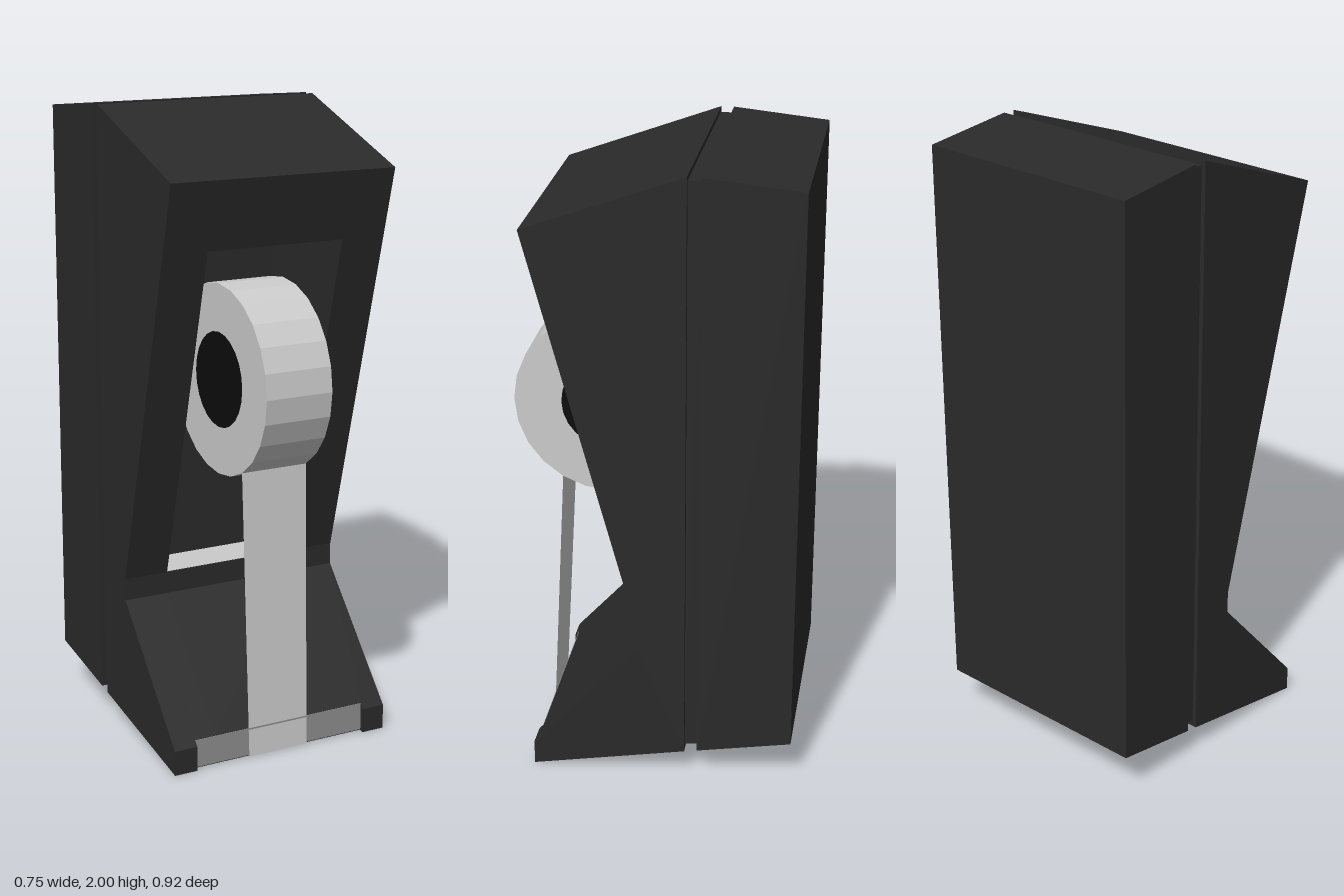
import * as THREE from 'three';

const material = (color, extra = {}) => new THREE.MeshStandardMaterial({ color, flatShading: true, ...extra });

// Side profile given as [z, y] points, extruded across x from x0 to x1.
function slab(points, x0, x1) {
  const shape = new THREE.Shape(points.map(([z, y]) => new THREE.Vector2(z, y)));
  const geo = new THREE.ExtrudeGeometry(shape, { depth: x1 - x0, bevelEnabled: false });
  return geo.rotateY(-Math.PI / 2).translate(x1, 0, 0);
}

export function createModel() {
  const group = new THREE.Group();
  const dark = material(0x2a2a2a);
  const grey = material(0xcccccc);
  const add = (name, geo, mat, parent = group) => {
    const mesh = new THREE.Mesh(geo, mat);
    mesh.name = name;
    parent.add(mesh);
    return mesh;
  };

  const W = 0.377, notchW = 0.3, pocketW = 0.23;

  // Front shell: cheeks on both sides, with a pocket and a cutter notch between them
  const shell = new THREE.Group();
  shell.name = 'frontShell';
  group.add(shell);
  const toe = [[0.37, 0], [0.37, 0.08]];
  const notchedToe = [[0.355, 0.003], [0.355, 0.097]];
  const waist = [[0.03, 0.46], [0.03, 0.53]];
  const crown = [[0.37, 1.82], [-0.12, 2]];
  const heel = [-0.12, 0.093];
  for (const side of [-1, 1]) {
    const span = (a, b) => (side > 0 ? [a, b] : [-b, -a]);
    add('outerCheek', slab([...toe, ...waist, ...crown, heel], ...span(notchW, W)), dark, shell);
    add('innerCheek', slab([...notchedToe, ...waist, ...crown, heel], ...span(pocketW, notchW)), dark, shell);
  }
  add('hood', slab([[-0.12, 1.605], [0.313, 1.605], ...crown], -pocketW, pocketW), dark, shell);
  add('base', slab([...notchedToe, ...waist, [-0.12, 0.53], heel], -pocketW, pocketW), dark, shell);

  // Recessed seam and rear shell
  add('seam', slab([[-0.115, 0.113], [-0.115, 1.985], [-0.165, 1.985], [-0.165, 0.118]].reverse(), -0.363, 0.363), dark);
  add('rearShell', slab([[-0.16, 0.1], [-0.16, 2], [-0.46, 1.97], [-0.46, 0.155]], -W, W), dark);

  // Light floor of the pocket
  const floor = add('pocketFloor', new THREE.PlaneGeometry(2 * pocketW, 0.145).rotateX(-Math.PI / 2), grey);
  floor.position.set(0, 0.532, -0.044);

  // Tape roll with its dark hub
  const ring = new THREE.Shape();
  const rim = (r) => Array.from({ length: 24 }, (_, i) => {
    const a = (i / 24) * Math.PI * 2;
    return new THREE.Vector2(Math.cos(a) * r, Math.sin(a) * r);
  });
  ring.setFromPoints(rim(0.3));
  ring.holes.push(new THREE.Path().setFromPoints(rim(0.15)));
  const rollW = 0.1125;
  const rollGeo = new THREE.ExtrudeGeometry(ring, { depth: 2 * rollW, bevelEnabled: false })
    .rotateY(-Math.PI / 2).translate(rollW, 0, 0);
  const roll = add('tapeRoll', rollGeo, grey);
  roll.position.set(0, 1.175, 0.16);
  const hub = add('hub', new THREE.CylinderGeometry(0.15, 0.15, 2 * rollW, 24).rotateZ(Math.PI / 2), material(0x0c0c0c));
  hub.position.copy(roll.position);

  // Cutter plate in the notch
  const plate = add('cutterPlate', new THREE.BoxGeometry(2 * notchW, 0.09, 0.016), material(0x909090));
  plate.position.set(0, 0.051, 0.349);

  // Loose tape hanging from the roll to the cutter, slightly narrower at its end
  const strip = new THREE.BufferGeometry();
  strip.setAttribute('position', new THREE.Float32BufferAttribute([
    -rollW, 0.003, 0.362, 0.095, 0.003, 0.362, rollW, 0.915, 0.31, -rollW, 0.915, 0.31,
  ], 3));
  strip.setIndex([0, 1, 2, 0, 2, 3]);
  strip.computeVertexNormals();
  add('looseTape', strip, material(0xcccccc, { side: THREE.DoubleSide }));

  return group;
}
